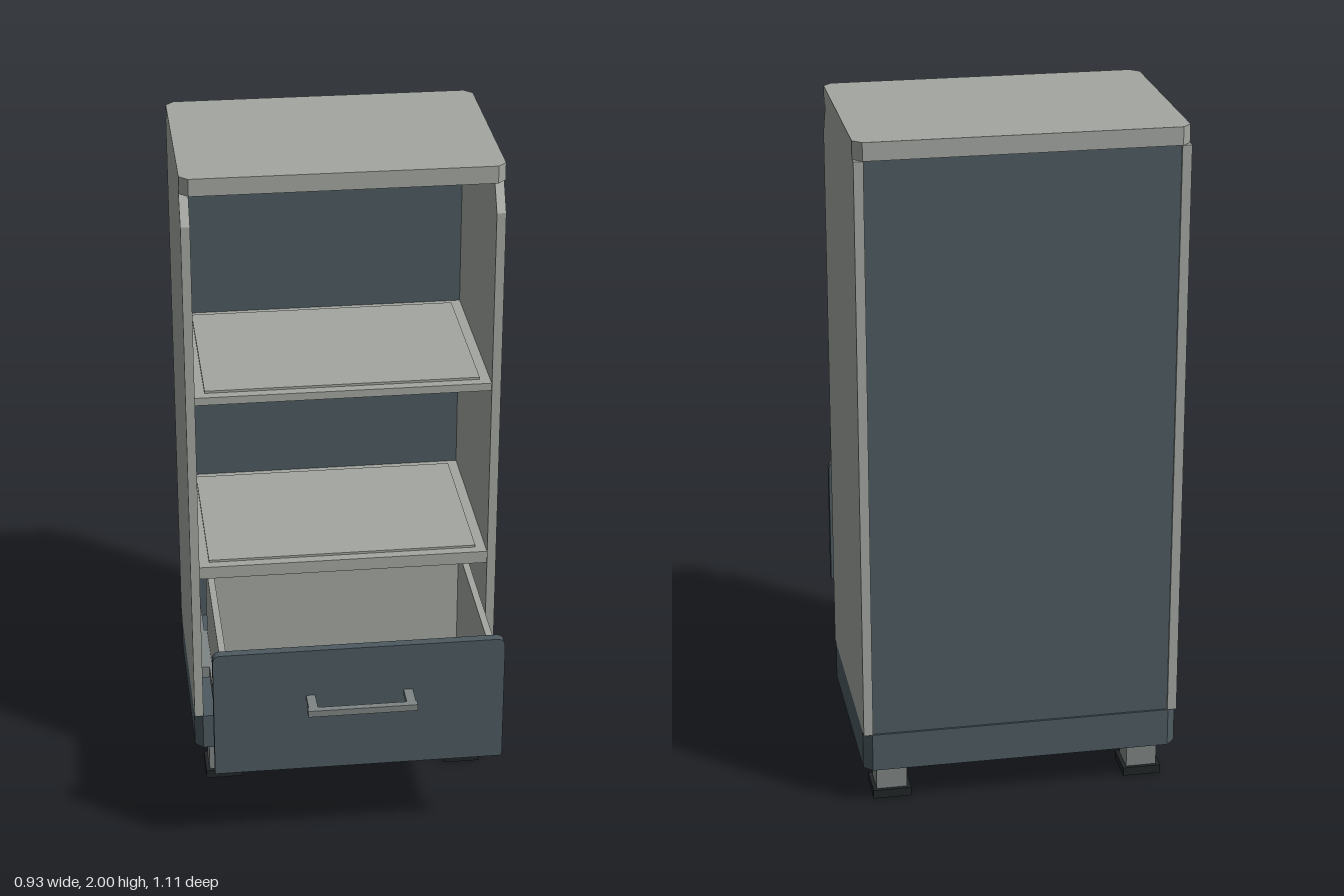
import * as THREE from 'three';

const paint = (name, color) => {
  const m = new THREE.MeshStandardMaterial({ color });
  m.name = name;
  return m;
};

export function createModel() {
  const light = paint('pale grey', 0xa2a6a0);
  const dark = paint('slate', 0x4d5a60);
  const metal = paint('metal grey', 0x7e8584);
  const rubber = paint('black rubber', 0x202526);

  const model = new THREE.Group();
  model.name = 'cabinet';

  const add = (parent, name, geometry, material) => {
    const mesh = new THREE.Mesh(geometry, material);
    mesh.name = name;
    parent.add(mesh);
    return mesh;
  };
  // Box given by its limits on each axis
  const box = (parent, name, [x0, x1], [y0, y1], [z0, z1], material) => {
    const g = new THREE.BoxGeometry(x1 - x0, y1 - y0, z1 - z0);
    g.translate((x0 + x1) / 2, (y0 + y1) / 2, (z0 + z1) / 2);
    return add(parent, name, g, material);
  };
  // The same box on both sides
  const pair = (parent, name, [x0, x1], y, z, material) => {
    box(parent, name + 'Left', [x0, x1], y, z, material);
    box(parent, name + 'Right', [-x1, -x0], y, z, material);
  };
  const polygon = (points) => new THREE.Shape(points.map(([x, y]) => new THREE.Vector2(x, y)));
  const extrude = (shape, depth) =>
    new THREE.ExtrudeGeometry(shape, { depth, bevelEnabled: false, curveSegments: 6 });

  const W = 0.463, inner = 0.436, back = -0.555, front = 0.085;

  // Horizontal slab with cut corners
  const slab = (name, y0, y1, material) => {
    const c = 0.025, h = (front - back) / 2;
    const g = extrude(polygon([
      [-W + c, -h], [W - c, -h], [W, -h + c], [W, h - c],
      [W - c, h], [-W + c, h], [-W, h - c], [-W, -h + c],
    ]), y1 - y0);
    g.rotateX(-Math.PI / 2).translate(0, y0, (front + back) / 2);
    add(model, name, g, material);
  };
  slab('plinth', 0.12, 0.235, dark);
  slab('top', 1.948, 2, light);

  // Side panels with a sloped upper front corner
  for (const [name, x] of [['sidePanelLeft', W], ['sidePanelRight', -inner]]) {
    const g = extrude(polygon([
      [back, 0.235], [front, 0.235], [front, 1.857], [0.03, 1.948], [back, 1.948],
    ]), W - inner);
    g.rotateY(-Math.PI / 2).translate(x, 0, 0);
    add(model, name, g, light);
  }
  box(model, 'backPanel', [-inner, inner], [0.235, 1.948], [back + 0.006, -0.525], dark);

  // Shelves with a thin raised mat
  for (const [name, y0, y1] of [['lowerShelf', 0.718, 0.757], ['upperShelf', 1.297, 1.321]]) {
    box(model, name, [-inner, inner], [y0, y1], [-0.525, 0.08], light);
    box(model, name + 'Mat', [-0.405, 0.405], [y1, y1 + 0.007], [-0.495, 0.05], light);
  }

  // Feet: post on a rubber pad
  for (const x of [-0.375, 0.375]) {
    for (const z of [0.02, -0.45]) {
      const foot = new THREE.Group();
      foot.name = 'foot';
      foot.position.set(x, 0, z);
      box(foot, 'footPost', [-0.045, 0.045], [0.025, 0.12], [-0.045, 0.045], metal);
      box(foot, 'footPad', [-0.056, 0.056], [0, 0.026], [-0.056, 0.056], rubber);
      model.add(foot);
    }
  }

  // Runners fixed inside the cabinet
  pair(model, 'cabinetRunner', [0.413, inner], [0.365, 0.402], [-0.5, 0.07], metal);

  // Open drawer
  const drawer = new THREE.Group();
  drawer.name = 'drawer';
  model.add(drawer);
  const rear = -0.15, face = 0.44;
  box(drawer, 'drawerFloor', [-0.404, 0.404], [0.286, 0.306], [rear, face], dark);
  pair(drawer, 'drawerSide', [0.384, 0.404], [0.306, 0.646], [rear, face], light);
  box(drawer, 'drawerBack', [-0.384, 0.384], [0.306, 0.646], [rear, rear + 0.02], light);
  pair(drawer, 'drawerRunner', [0.404, 0.413], [0.365, 0.402], [rear, 0.413], metal);

  // Drawer front with rounded upper corners
  const fx = 0.428, y0 = 0.276, y1 = 0.68, r = 0.025;
  const shape = new THREE.Shape();
  shape.moveTo(-fx, y0);
  shape.lineTo(fx, y0);
  shape.lineTo(fx, y1 - r);
  shape.quadraticCurveTo(fx, y1, fx - r, y1);
  shape.lineTo(-fx + r, y1);
  shape.quadraticCurveTo(-fx, y1, -fx, y1 - r);
  add(drawer, 'drawerFront', extrude(shape, 0.027).translate(0, 0, face), dark);

  // Handle
  pair(drawer, 'handlePost', [0.13, 0.157], [0.511, 0.529], [0.467, 0.537], metal);
  box(drawer, 'handleBar', [-0.16, 0.16], [0.51, 0.53], [0.536, 0.556], metal);

  return model;
}
